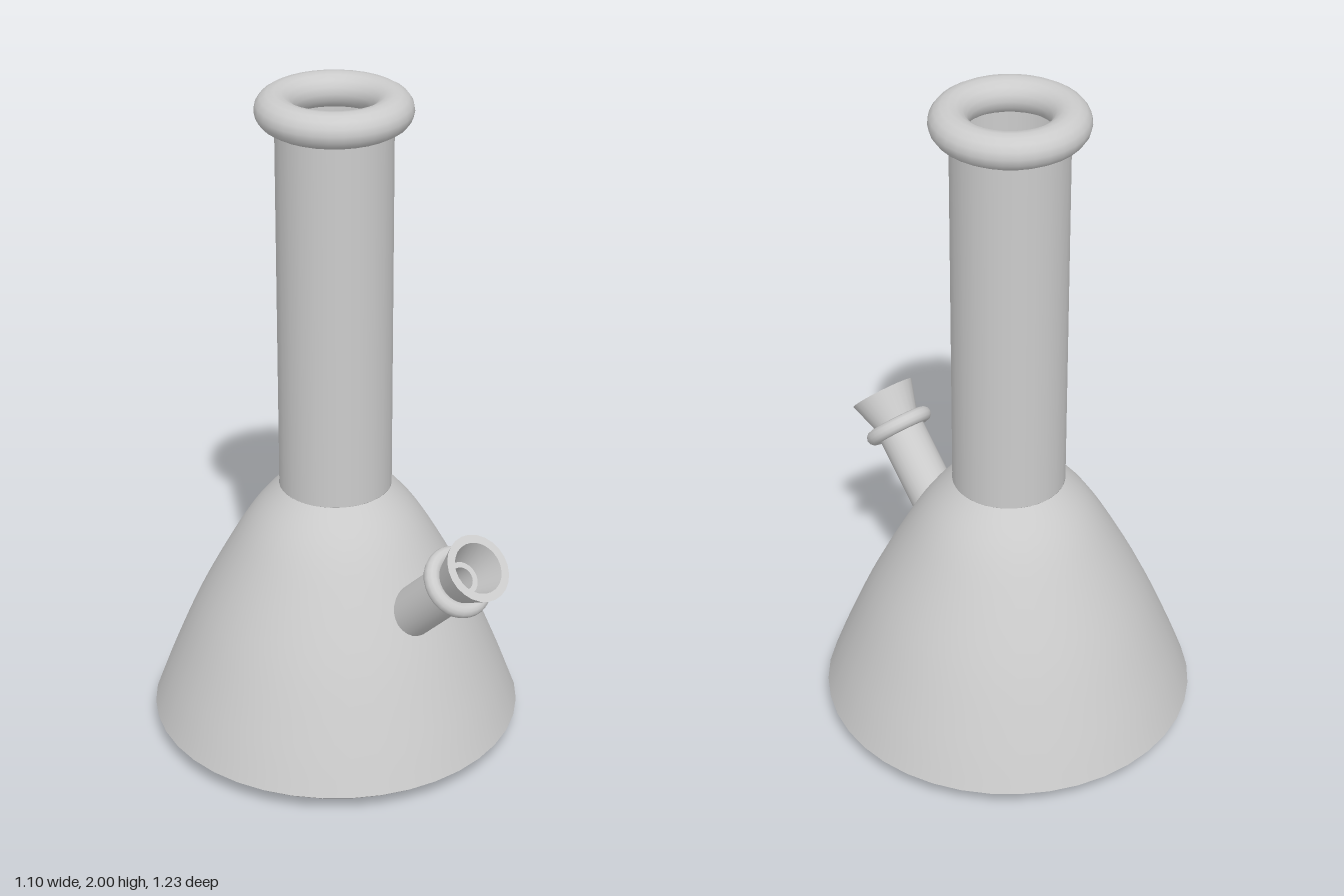
import * as THREE from 'three';

export function createModel() {
  const model = new THREE.Group();
  const material = new THREE.MeshStandardMaterial({ color: 0xcccccc, side: THREE.DoubleSide });
  const add = (parent, name, geometry) => {
    const mesh = new THREE.Mesh(geometry, material);
    mesh.name = name;
    parent.add(mesh);
    return mesh;
  };
  const points = (list) => list.map(([r, y]) => new THREE.Vector2(r, y));
  const lathe = (list, sides) => new THREE.LatheGeometry(points(list), sides);

  // Flask, neck and lip share one upright axis
  const vessel = new THREE.Group();
  vessel.name = 'vessel';
  vessel.position.z = -0.063;
  model.add(vessel);

  const wall = new THREE.SplineCurve(points([
    [0.55, 0.06], [0.497, 0.2], [0.412, 0.4], [0.308, 0.6], [0.24, 0.71], [0.165, 0.8],
  ]));
  add(vessel, 'flaskWall', new THREE.LatheGeometry(wall.getPoints(24), 40));
  add(vessel, 'flaskBottom', lathe([
    [0, 0], [0.2, 0.003], [0.33, 0.01], [0.43, 0.021], [0.5, 0.035], [0.535, 0.048], [0.55, 0.06],
  ], 40));
  add(vessel, 'neck', new THREE.CylinderGeometry(0.165, 0.165, 1.15, 24, 1, true)).position.y = 1.375;

  const lip = add(vessel, 'mouthLip', new THREE.TorusGeometry(0.165, 0.055, 16, 32).rotateX(Math.PI / 2));
  lip.scale.y = 0.91;
  lip.position.y = 1.95;

  // Slanted stem: local y runs up and forward, origin at the collar
  const stem = new THREE.Group();
  stem.name = 'stem';
  stem.position.set(0, 0.693, 0.463);
  stem.rotation.x = Math.PI / 4;
  model.add(stem);

  add(stem, 'stemSleeve', new THREE.CylinderGeometry(0.072, 0.072, 0.3, 24, 1, true)).position.y = -0.15;
  add(stem, 'innerTube', new THREE.CylinderGeometry(0.043, 0.043, 0.655, 20, 1, true)).position.y = -0.3275;
  add(stem, 'collar', new THREE.TorusGeometry(0.084, 0.023, 12, 28).rotateX(Math.PI / 2));

  // Bowl: flared outside, flat rim, funnel inside with a small step
  add(stem, 'bowlOutside', lathe([[0.058, -0.02], [0.099, 0.114]], 24));
  add(stem, 'bowlRim', lathe([[0.099, 0.114], [0.075, 0.114]], 24));
  add(stem, 'bowlInside', lathe([[0.075, 0.114], [0.05, 0.025]], 24));
  add(stem, 'bowlStep', lathe([[0.05, 0.025], [0.034, 0.025]], 24));
  add(stem, 'bowlHole', lathe([[0.034, 0.025], [0.034, -0.03]], 24));
  add(stem, 'bowlFloor', lathe([[0.043, -0.03], [0, -0.03]], 24));

  return model;
}
